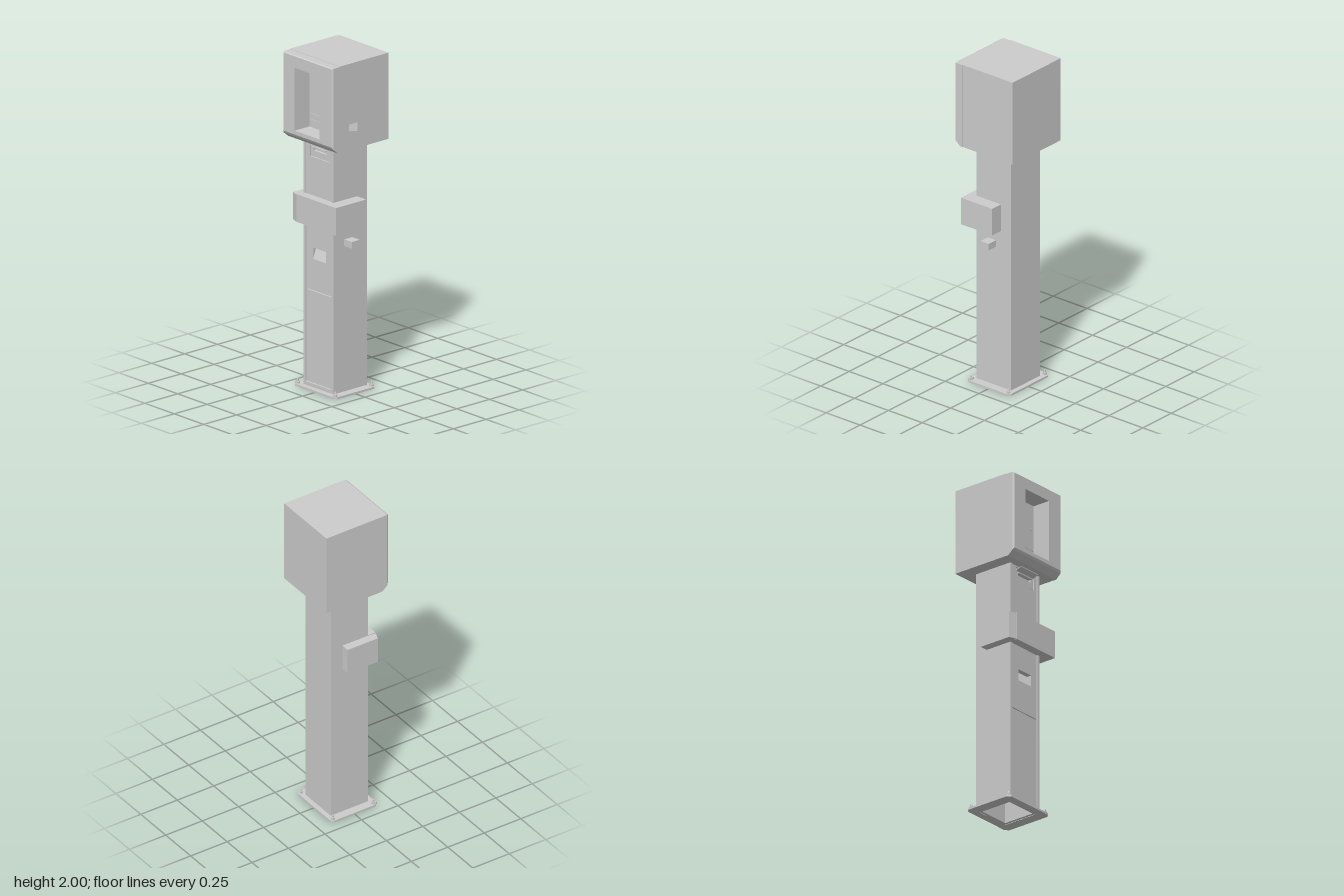
import * as THREE from 'three';

const material = new THREE.MeshStandardMaterial({ color: 0xcccccc, flatShading: true });

const rect = (a0, a1, b0, b1) => [[a0, b0], [a1, b0], [a1, b1], [a0, b1]];

function outline(points, holes = []) {
  const vec = (list) => list.map(([a, b]) => new THREE.Vector2(a, b));
  const shape = new THREE.Shape(vec(points));
  holes.forEach((h) => shape.holes.push(new THREE.Path(vec(h))));
  return shape;
}

// Outline in x,y pushed from z0 to z1
function slabZ(points, z0, z1, holes, steps = 1) {
  return new THREE.ExtrudeGeometry(outline(points, holes), { depth: z1 - z0, bevelEnabled: false, steps })
    .translate(0, 0, z0);
}

// Footprint in x,z pushed from y0 to y1
function slabY(points, y0, y1, holes = []) {
  const flip = (list) => list.map(([x, z]) => [x, -z]);
  return new THREE.ExtrudeGeometry(outline(flip(points), holes.map(flip)), { depth: y1 - y0, bevelEnabled: false })
    .rotateX(-Math.PI / 2).translate(0, y0, 0);
}

// Outline in z,y pushed from x0 to x1
function slabX(points, x0, x1, holes = []) {
  const flip = (list) => list.map(([z, y]) => [-z, y]);
  return new THREE.ExtrudeGeometry(outline(flip(points), holes.map(flip)), { depth: x1 - x0, bevelEnabled: false })
    .rotateY(Math.PI / 2).translate(x0, 0, 0);
}

function box(x0, x1, y0, y1, z0, z1) {
  return new THREE.BoxGeometry(x1 - x0, y1 - y0, z1 - z0)
    .translate((x0 + x1) / 2, (y0 + y1) / 2, (z0 + z1) / 2);
}

function add(parent, name, geometry) {
  const mesh = new THREE.Mesh(geometry, material);
  mesh.name = name;
  parent.add(mesh);
  return mesh;
}

function group(parent, name) {
  const g = new THREE.Group();
  g.name = name;
  parent.add(g);
  return g;
}

function buildBase(parent) {
  const base = group(parent, 'base');
  // Plate with clipped corners, open in the middle
  const c = 0.02, x0 = -0.185, x1 = 0.175, z = 0.16;
  const plate = [[x0 + c, -z], [x1 - c, -z], [x1, c - z], [x1, z - c], [x1 - c, z], [x0 + c, z], [x0, z - c], [x0, c - z]];
  add(base, 'basePlate', slabY(plate, 0, 0.012, [rect(-0.116, 0.106, -0.114, 0.104)]));
  for (const x of [-0.165, 0.155]) {
    for (const bz of [-0.138, 0.138]) {
      add(base, 'anchorNut', new THREE.CylinderGeometry(0.013, 0.013, 0.012, 6).translate(x, 0.018, bz));
      add(base, 'anchorBolt', new THREE.CylinderGeometry(0.006, 0.007, 0.026, 10).translate(x, 0.025, bz));
    }
  }
}

function buildColumn(parent) {
  const column = group(parent, 'column');
  // Hollow channel, open at the front
  const channel = [[-0.132, -0.13], [0.122, -0.13], [0.122, 0.125], [0.106, 0.125], [0.106, -0.114],
    [-0.116, -0.114], [-0.116, 0.125], [-0.132, 0.125]];
  add(column, 'columnChannel', slabY(channel, 0.012, 1.486));
  add(column, 'threshold', box(-0.116, 0.106, 0.012, 0.033, 0.104, 0.125));

  // Front panels, separated by narrow gaps
  add(column, 'lowerDoor', box(-0.112, 0.102, 0.037, 0.584, 0.105, 0.12));
  add(column, 'panelBacking', box(-0.116, 0.106, 0.033, 0.77, 0.098, 0.105));
  add(column, 'middlePanel', slabZ(rect(-0.113, 0.103, 0.59, 1.0), 0.09, 0.12, [rect(-0.058, 0.053, 0.777, 0.845)]));
  add(column, 'upperPanel', slabZ(rect(-0.114, 0.104, 1.0, 1.486), 0.09, 0.12, [rect(-0.08, 0.08, 1.385, 1.478)]));

  // Hand grip: sloping wedge, deepest at the top
  add(column, 'gripSlope', slabX([[0.06, 0.85], [0.085, 0.85], [0.118, 0.777], [0.06, 0.777]], -0.06, 0.055));

  // Slot unit under the head
  const slot = group(column, 'slotUnit');
  add(slot, 'slotFace', slabZ(rect(-0.077, 0.077, 1.388, 1.475), 0.1, 0.117, [rect(-0.055, 0.055, 1.424, 1.444)]));
  add(slot, 'slotBack', box(-0.08, 0.08, 1.385, 1.478, 0.085, 0.1));
  add(slot, 'slotLip', box(-0.058, 0.058, 1.444, 1.45, 0.115, 0.126));
  add(slot, 'slotHood', slabX([[0.117, 1.456], [0.155, 1.47], [0.155, 1.474], [0.117, 1.461]], -0.075, 0.075));
}

function buildCollar(parent) {
  const collar = group(parent, 'collar');
  // L-shaped housing across the front and the left side
  add(collar, 'collarHousing', slabY([[-0.134, 0.12], [-0.134, 0.175], [0.2, 0.175], [0.2, -0.055],
    [0.121, -0.055], [0.121, 0.12]], 0.99, 1.156));
  // Side box with an angled front
  add(collar, 'collarSideBox', slabY([[-0.185, -0.05], [-0.131, -0.05], [-0.131, 0.12], [-0.138, 0.174],
    [-0.185, 0.157]], 0.99, 1.152));
  add(parent, 'sideBlock', box(0.12, 0.187, 0.88, 0.92, -0.018, 0.042));
}

function buildHead(parent) {
  const head = group(parent, 'head');
  const y0 = 1.485, windowHole = rect(-0.108, 0.102, 1.55, 1.925);

  // Cabinet: solid core, window surround and pocketed side wall
  add(head, 'cabinetCore', box(-0.213, 0.161, y0, 2, -0.215, 0.1));
  add(head, 'cabinetSurround', slabZ(rect(-0.213, 0.161, y0, 2), 0.1, 0.155, [windowHole]));
  add(head, 'cabinetSide', slabX(rect(-0.215, 0.155, y0, 2), 0.161, 0.211, [rect(0.006, 0.11, 1.577, 1.637)]));
  add(head, 'pocketSlope', slabY([[0.161, 0.006], [0.195, 0.006], [0.161, 0.04]], 1.577, 1.637));

  // Front cover: sides rounded at the front, lower edge cut back
  const cover = slabZ(rect(-0.211, 0.213, y0, 1.998), 0, 3, [windowHole], 3);
  const p = cover.attributes.position;
  const depth = [0.155, 0.172, 0.205, 0.213], lift = [0, 0, 0.028, 0.042], inset = [0, 0, 0, 0.008];
  for (let i = 0; i < p.count; i++) {
    const layer = Math.round(p.getZ(i)), x = p.getX(i), y = p.getY(i);
    p.setZ(i, depth[layer]);
    if (Math.abs(x) > 0.2) {
      p.setX(i, x - Math.sign(x) * inset[layer]);
      p.setY(i, y < 1.5 ? y + lift[layer] : y - inset[layer] / 2);
    }
  }
  cover.computeVertexNormals();
  add(head, 'frontCover', cover);

  // Panel details inside the window
  add(head, 'displayPanel', box(-0.1, 0.094, 1.64, 1.917, 0.098, 0.104));
  add(head, 'controlStrip', box(-0.1, 0.094, 1.602, 1.634, 0.098, 0.104));
  add(head, 'lowerStrip', box(-0.1, 0.094, 1.555, 1.597, 0.098, 0.104));
  add(head, 'knob', new THREE.CylinderGeometry(0.012, 0.012, 0.014, 20).rotateX(Math.PI / 2).translate(0.05, 1.582, 0.109));
  add(head, 'indicator', new THREE.CylinderGeometry(0.005, 0.005, 0.006, 12).rotateX(Math.PI / 2).translate(0.072, 1.768, 0.106));
}

export function createModel() {
  const model = new THREE.Group();
  model.name = 'pedestalTerminal';
  buildBase(model);
  buildColumn(model);
  buildCollar(model);
  buildHead(model);
  return model;
}
